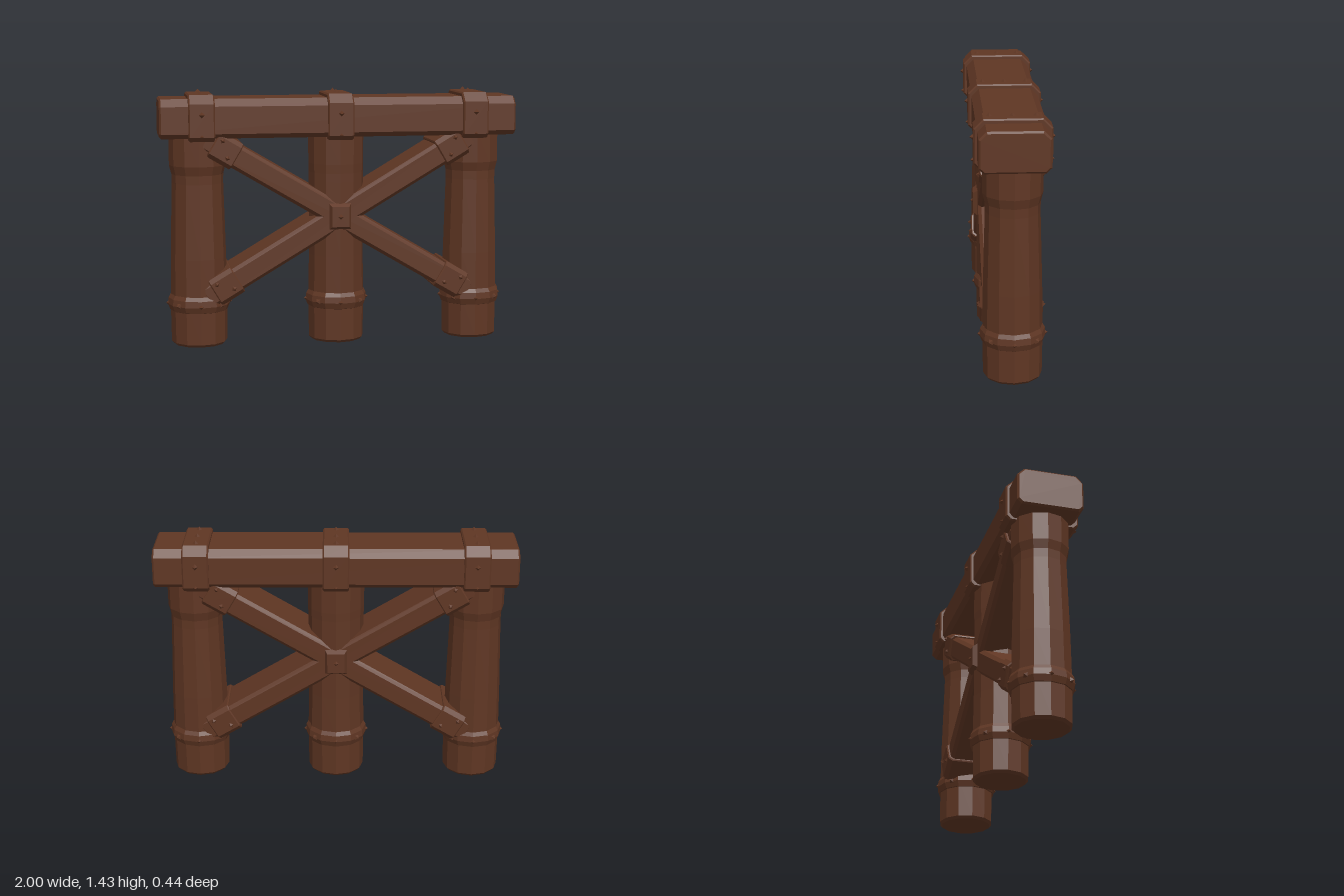
import * as THREE from 'three';

const wood = new THREE.MeshStandardMaterial({ color: 0x5f3623, flatShading: true });
wood.name = 'brown wood';

function add(parent, name, geometry, x = 0, y = 0, z = 0) {
  const mesh = new THREE.Mesh(geometry, wood);
  mesh.name = name;
  mesh.position.set(x, y, z);
  parent.add(mesh);
  return mesh;
}

// Small four-sided stud pointing along a direction
const UP = new THREE.Vector3(0, 1, 0);
function stud(parent, pos, dir, r = 0.026, h = 0.028) {
  const m = add(parent, 'stud', new THREE.ConeGeometry(r, h, 4), ...pos);
  m.quaternion.setFromUnitVectors(UP, new THREE.Vector3(...dir).normalize());
}

// Bar along x with a chamfered cross-section: half depth d, from y0 to y1
function chamferedBar(length, d, y0, y1, top, bottom, bevel) {
  d -= bevel; y0 += bevel; y1 -= bevel;
  const s = new THREE.Shape([
    [-d + bottom, y0], [d - bottom, y0], [d, y0 + bottom], [d, y1 - top],
    [d - top, y1], [-d + top, y1], [-d, y1 - top], [-d, y0 + bottom],
  ].map(([x, y]) => new THREE.Vector2(x, y)));
  const g = new THREE.ExtrudeGeometry(s, {
    depth: length - 2 * bevel, bevelEnabled: true, bevelSize: bevel, bevelThickness: bevel, bevelSegments: 1,
  });
  g.translate(0, 0, -length / 2 + bevel);
  return g.rotateY(Math.PI / 2);
}

// Round part turned from [radius, height] pairs
function turned(points, sides = 12) {
  return new THREE.LatheGeometry(points.map(([r, y]) => new THREE.Vector2(r, y)), sides);
}

export function createModel() {
  const model = new THREE.Group();
  model.name = 'woodenTrestle';

  // Top beam
  add(model, 'topBeam', chamferedBar(2, 0.183, 1.178, 1.395, 0.035, 0.02, 0.01));

  // Straps around the beam, with studs
  for (const x of [-0.77, 0, 0.765]) {
    const strap = new THREE.Group();
    strap.name = 'beamStrap';
    strap.position.x = x;
    model.add(strap);
    add(strap, 'strapBand', chamferedBar(0.145, 0.202, 1.162, 1.418, 0.045, 0.02, 0.008));
    for (const z of [-0.12, 0, 0.12]) stud(strap, [0, 1.421, z], [0, 1, 0]);
    for (const s of [-1, 1]) {
      stud(strap, [0, 1.31, s * 0.206], [0, 0, s]);
      stud(strap, [0, 1.19, s * 0.202], [0, 0, s], 0.022);
    }
  }

  // Posts with a slim waist, and a ring near the foot
  for (const x of [-0.785, 0, 0.785]) {
    const post = new THREE.Group();
    post.name = 'post';
    post.position.x = x;
    model.add(post);
    const outer = x !== 0;
    add(post, 'postShaft', turned([
      [0, 0.005], [0.143, 0.005], [0.157, 0.02], [0.16, 0.25], [0.156, 0.5],
      [outer ? 0.144 : 0.156, 0.92], [outer ? 0.145 : 0.156, 0.97],
      [0.158, 1.02], [0.158, 1.2], [0, 1.2],
    ]));
    add(post, 'postRing', turned([
      [0.15, 0.195], [0.164, 0.202], [0.176, 0.235], [0.172, 0.27], [0.16, 0.292], [0.15, 0.294],
    ]));
    for (let i = 0; i < 8; i++) {
      const a = i * Math.PI / 4, c = Math.cos(a), s = Math.sin(a);
      stud(post, [c * 0.173, 0.24, s * 0.173], [c, 0, s], 0.026, 0.026);
    }
  }

  // Crossed braces with a cuff at each end
  const angle = Math.atan2(0.445, 0.75);
  for (const side of [-1, 1]) {
    const brace = new THREE.Group();
    brace.name = side > 0 ? 'risingBrace' : 'fallingBrace';
    brace.position.y = 0.73;
    brace.rotation.z = side * angle;
    model.add(brace);
    add(brace, 'bracePlank', chamferedBar(1.74, 0.152, -0.066, 0.066, 0.015, 0.015, 0.006));
    for (const end of [-1, 1]) {
      add(brace, 'braceCuff', chamferedBar(0.15, 0.167, -0.08, 0.08, 0.02, 0.02, 0.006), end * 0.745);
      for (const z of [-1, 1]) {
        for (const dx of [-0.03, 0.04]) stud(brace, [end * (0.745 + dx), dx, z * 0.17], [0, 0, z], 0.024, 0.026);
      }
    }
  }

  // Tapered plates over the crossing, front and back
  for (const s of [-1, 1]) {
    const g = new THREE.CylinderGeometry(0.72, 1, 1, 4).rotateY(Math.PI / 4).rotateX(Math.PI / 2);
    g.scale(0.095, 0.112, 0.035);
    const plate = add(model, s > 0 ? 'frontCrossPlate' : 'backCrossPlate', g, 0, 0.73, s * 0.16);
    if (s < 0) plate.rotation.y = Math.PI;
    stud(model, [0, 0.73, s * 0.18], [0, 0, s], 0.024, 0.024);
  }

  return model;
}
